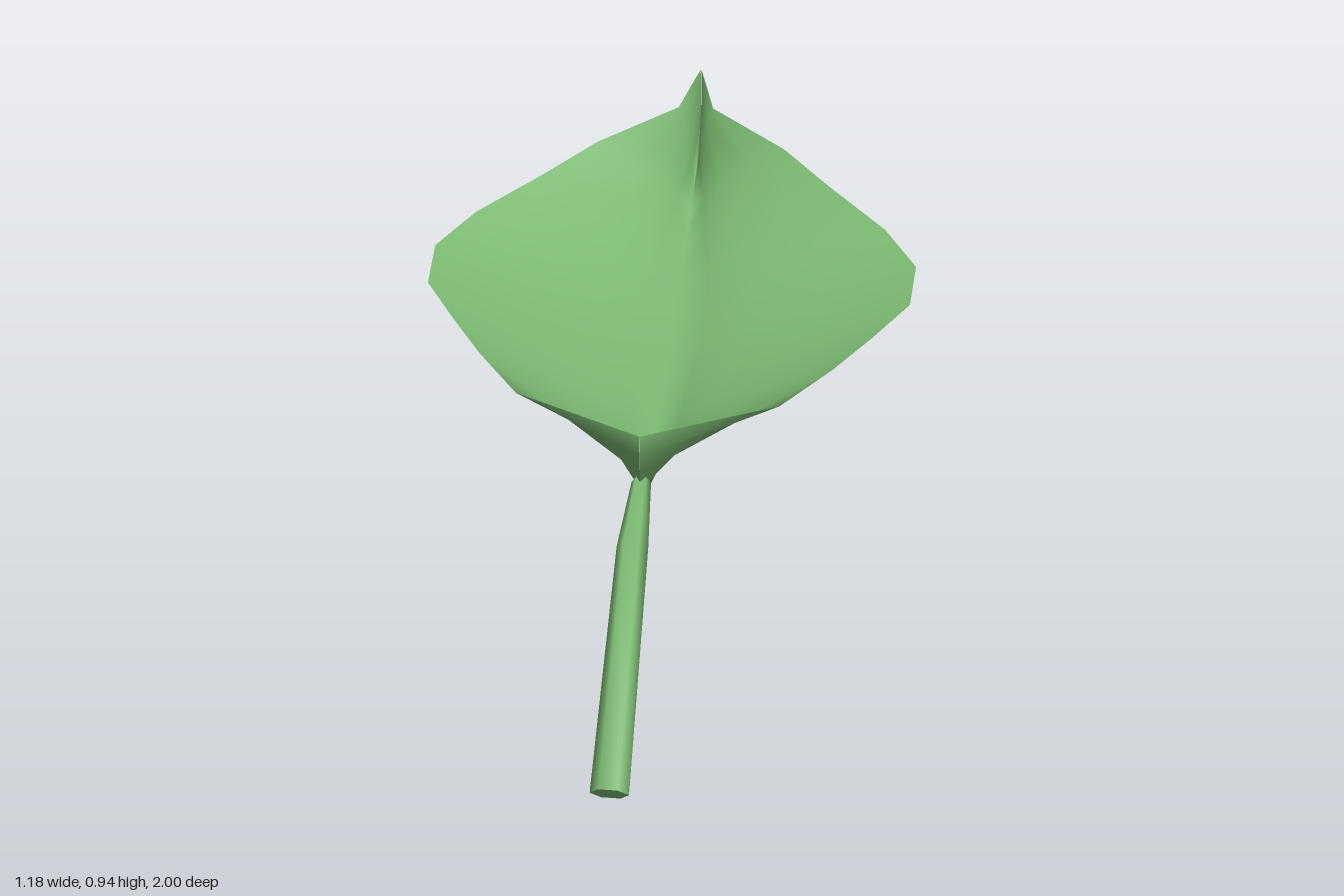
import * as THREE from 'three';

const green = new THREE.MeshStandardMaterial({ color: 0x7ab870, side: THREE.DoubleSide });
green.name = 'leafGreen';

function makeGeometry(points, index) {
  const g = new THREE.BufferGeometry();
  g.setAttribute('position', new THREE.Float32BufferAttribute(points, 3));
  g.setIndex(index);
  g.computeVertexNormals();
  return g;
}

// Blade: a folded sheet, each station holds [rim z, rim y, half width]
function bladeGeometry() {
  const stations = [
    [0.42, 0.595, 0.001], [0.27, 0.61, 0.3], [0.12, 0.632, 0.41], [-0.01, 0.655, 0.495],
    [-0.14, 0.685, 0.58], [-0.29, 0.717, 0.59], [-0.42, 0.755, 0.51], [-0.57, 0.8, 0.365],
    [-0.705, 0.843, 0.24], [-0.845, 0.893, 0.045], [-0.98, 0.95, 0.001],
  ];
  // Fold profile from midrib to rim: [fraction of width, fraction of depth]
  const half = [[0.14, 0.23], [0.33, 0.46], [0.66, 0.72], [1, 1]];
  const profile = [...half.map(([u, f]) => [-u, f]).reverse(), [0, 0], ...half];
  const n = profile.length, points = [], index = [];
  for (const [z, y, w] of stations)
    for (const [u, f] of profile) points.push(u * w, y - 0.185 * (1 - f), z - 0.02 * (1 - f));
  for (let i = 0; i < stations.length - 1; i++) {
    for (let j = 0; j < n - 1; j++) {
      const a = i * n + j, b = a + 1, c = a + n, d = c + 1;
      // mirror the diagonal on each side of the midrib
      if (j < (n - 1) / 2) index.push(a, b, c, b, d, c);
      else index.push(a, b, d, a, d, c);
    }
  }
  return makeGeometry(points, index);
}

// Stalk: a bent six-sided taper, each ring holds [y, z, radius, direction angle]
function stalkRings() {
  const rings = [[0.034, 0.978, 0.042, 0.71], [0.39, 0.555, 0.035, 0.55], [0.46, 0.385, 0.022, 0.36]];
  return rings.map(([y, z, r, t]) => Array.from({ length: 6 }, (_, k) => {
    const a = k * Math.PI / 3, s = r * Math.sin(a);
    return [r * Math.cos(a), y - s * Math.cos(t), z - s * Math.sin(t)];
  }));
}

function stalkSides(rings) {
  const index = [];
  for (let i = 0; i < rings.length - 1; i++)
    for (let j = 0; j < 6; j++) {
      const a = i * 6 + j, b = i * 6 + (j + 1) % 6;
      index.push(a, b, a + 6, b, b + 6, a + 6);
    }
  return makeGeometry(rings.flat(2), index);
}

function stalkCap(ring, flip) {
  const index = [];
  for (let j = 1; j < 5; j++) index.push(0, flip ? j + 1 : j, flip ? j : j + 1);
  return makeGeometry(ring.flat(), index);
}

export function createModel() {
  const model = new THREE.Group();
  model.name = 'leaf';
  const add = (name, geometry) => {
    const mesh = new THREE.Mesh(geometry, green);
    mesh.name = name;
    model.add(mesh);
  };
  add('blade', bladeGeometry());
  const rings = stalkRings();
  add('stalk', stalkSides(rings));
  add('stalkCutEnd', stalkCap(rings[0], true));
  add('stalkTopEnd', stalkCap(rings[2], false));
  return model;
}
